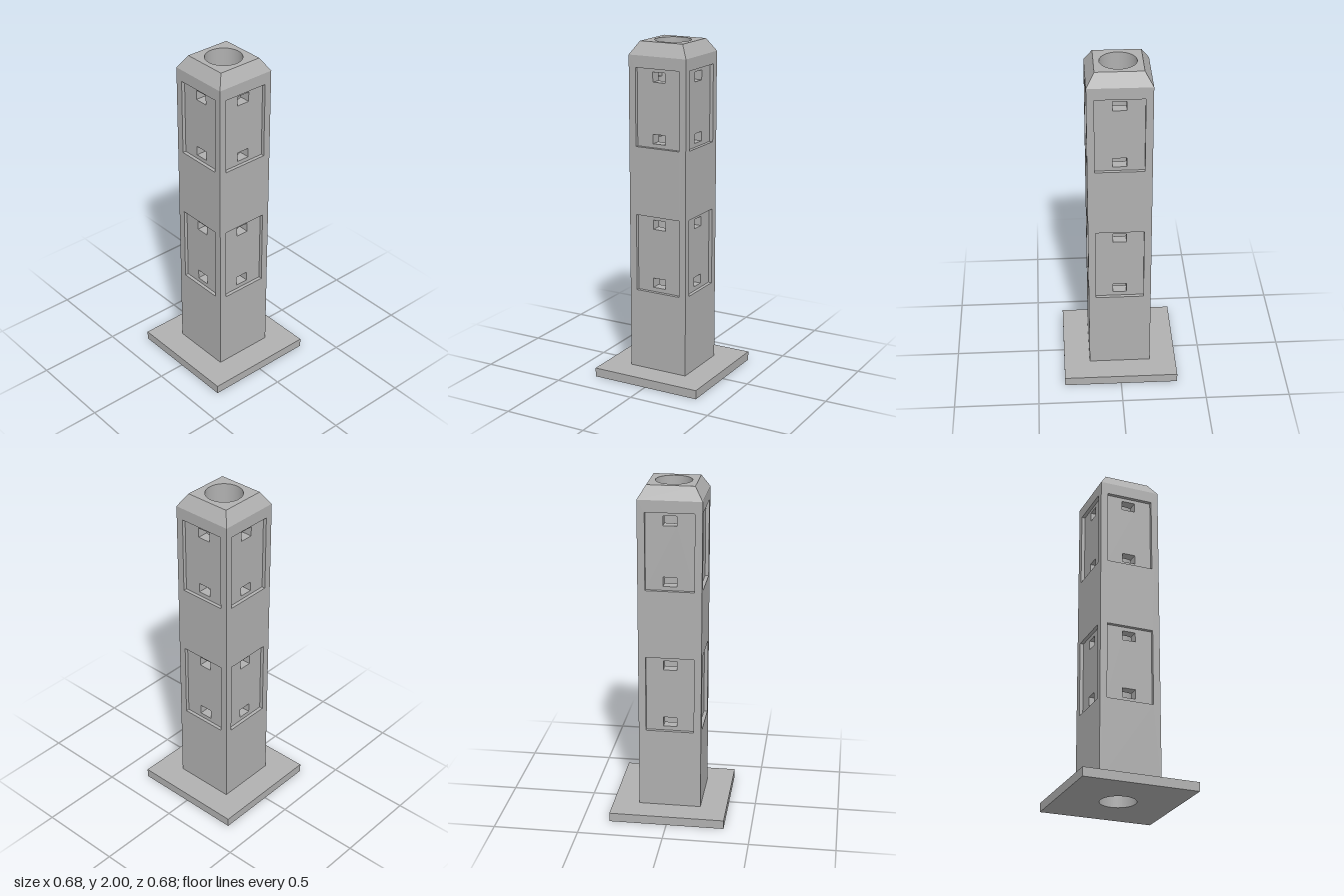
import * as THREE from 'three';

const HALF = 0.184;      // half width of the column
const TOP = 0.137;       // half width of the flat top
const FLOOR = 0.163;     // distance of the recessed panels from the axis
const BORE = 0.105;      // radius of the central bore
const BASE_H = 0.053, SHOULDER = 1.925, HEIGHT = 2;
const PANEL_W = 0.141, SLOT_W = 0.04;
const SLOT_ANGLE = Math.asin(SLOT_W / BORE);

// Each panel: bottom, top and the [bottom, top] of its two slots
const PANELS = [
  { y0: 0.535, y1: 0.995, slots: [[0.56, 0.617], [0.915, 0.971]] },
  { y0: 1.4, y1: 1.855, slots: [[1.423, 1.478], [1.777, 1.834]] },
];

const grey = new THREE.MeshStandardMaterial({ color: 0xb0b0b0, side: THREE.DoubleSide });
grey.name = 'grey';

function add(parent, name, geometry) {
  const mesh = new THREE.Mesh(geometry, grey);
  mesh.name = name;
  parent.add(mesh);
  return mesh;
}

function rectangle(w, y0, y1, PathType = THREE.Shape) {
  return new PathType([[-w, y0], [w, y0], [w, y1], [-w, y1]].map(p => new THREE.Vector2(...p)));
}

function squareWithBore(half) {
  const shape = rectangle(half, -half, half);
  shape.holes.push(new THREE.Path().absarc(0, 0, BORE, 0, Math.PI * 2, true));
  return shape;
}

// Four walls of a rectangular opening, running inward from zOut;
// a slot ends on the curve of the bore, a recess on a flat floor
function addSleeve(parent, name, w, y0, y1, zOut, zIn, meetsBore) {
  for (const s of [-1, 1]) {
    const side = new THREE.PlaneGeometry(zOut - zIn, y1 - y0).rotateY(-s * Math.PI / 2);
    add(parent, name + 'Side', side).position.set(s * w, (y0 + y1) / 2, (zOut + zIn) / 2);
  }
  const ledge = new THREE.Shape().moveTo(-w, zOut).lineTo(w, zOut).lineTo(w, zIn);
  if (meetsBore) ledge.absarc(0, 0, BORE, Math.PI / 2 - SLOT_ANGLE, Math.PI / 2 + SLOT_ANGLE, false);
  else ledge.lineTo(-w, zIn);
  for (const y of [y0, y1]) {
    add(parent, name + 'Ledge', new THREE.ShapeGeometry(ledge).rotateX(Math.PI / 2)).position.y = y;
  }
}

// Part of the bore wall in one quarter of the column
function addBore(parent, y0, y1, start, length) {
  const geometry = new THREE.CylinderGeometry(BORE, BORE, y1 - y0, 16, 1, true, start, length);
  add(parent, 'boreWall', geometry).position.y = (y0 + y1) / 2;
}

function createSide() {
  const side = new THREE.Group();

  // Outer wall, cut out for the panels
  const wall = rectangle(HALF, BASE_H, SHOULDER);
  for (const p of PANELS) wall.holes.push(rectangle(PANEL_W, p.y0, p.y1, THREE.Path));
  add(side, 'columnWall', new THREE.ShapeGeometry(wall)).position.z = HALF;

  // Recessed panels with their slots
  let y = BASE_H;
  for (const p of PANELS) {
    addSleeve(side, 'recess', PANEL_W, p.y0, p.y1, HALF, FLOOR, false);
    const floor = rectangle(PANEL_W, p.y0, p.y1);
    for (const [s0, s1] of p.slots) {
      floor.holes.push(rectangle(SLOT_W, s0, s1, THREE.Path));
      addSleeve(side, 'slot', SLOT_W, s0, s1, FLOOR, BORE * Math.cos(SLOT_ANGLE), true);
      addBore(side, y, s0, -Math.PI / 4, Math.PI / 2);
      addBore(side, s0, s1, SLOT_ANGLE, Math.PI / 2 - 2 * SLOT_ANGLE);
      y = s1;
    }
    add(side, 'panel', new THREE.ShapeGeometry(floor)).position.z = FLOOR;
  }
  addBore(side, y, HEIGHT, -Math.PI / 4, Math.PI / 2);
  return side;
}

export function createModel() {
  const model = new THREE.Group();
  model.name = 'slottedPost';

  // Base plate
  const plate = new THREE.ExtrudeGeometry(squareWithBore(0.34), {
    depth: BASE_H, bevelEnabled: false, curveSegments: 32,
  });
  add(model, 'basePlate', plate.rotateX(-Math.PI / 2));

  // Four identical sides of the column
  ['front', 'left', 'back', 'right'].forEach((name, i) => {
    const side = createSide();
    side.name = name + 'Side';
    side.rotation.y = i * Math.PI / 2;
    model.add(side);
  });

  // Sloping shoulder and flat top
  const slope = new THREE.CylinderGeometry(
    TOP * Math.SQRT2, HALF * Math.SQRT2, HEIGHT - SHOULDER, 4, 1, true
  ).rotateY(Math.PI / 4).toNonIndexed();
  slope.computeVertexNormals();
  add(model, 'shoulder', slope).position.y = (HEIGHT + SHOULDER) / 2;
  const cap = new THREE.ShapeGeometry(squareWithBore(TOP), 32).rotateX(-Math.PI / 2);
  add(model, 'topFace', cap).position.y = HEIGHT;

  return model;
}
